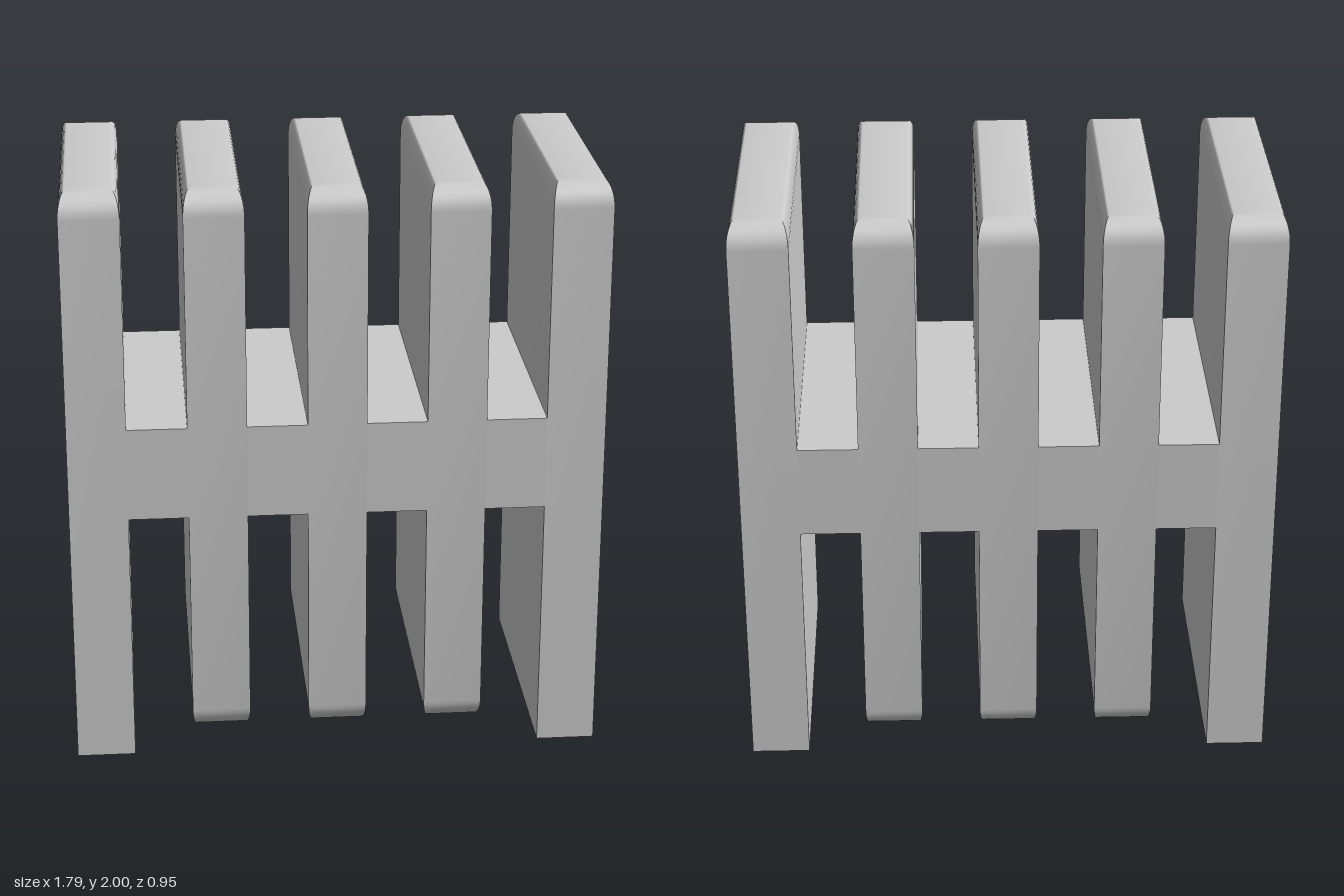
import * as THREE from 'three';
import { toCreasedNormals } from 'three/addons/utils/BufferGeometryUtils.js';

const HALF_W = 0.0985, HALF_D = 0.477, PITCH = 0.3975;
const ROUND_H = 0.08, ROUND_X = 0.024, ROUND_Z = 0.08, STEPS = 8;

// Slab lofted from rectangles stacked in y; its ends are rounded where asked
function finGeometry(y0, y1, roundBottom) {
  const levels = [];
  const ring = (t, y) => levels.push({
    w: HALF_W - ROUND_X * (1 - Math.cos(t)),
    d: HALF_D - ROUND_Z * (1 - Math.cos(t)),
    y,
  });
  if (roundBottom) {
    for (let i = STEPS; i >= 0; i--) {
      const t = (i / STEPS) * Math.PI / 2;
      ring(t, y0 + ROUND_H * (1 - Math.sin(t)));
    }
  } else ring(0, y0);
  for (let i = 0; i <= STEPS; i++) {
    const t = (i / STEPS) * Math.PI / 2;
    ring(t, y1 - ROUND_H * (1 - Math.sin(t)));
  }

  const positions = [], index = [];
  for (const { w, d, y } of levels) {
    positions.push(-w, y, d, w, y, d, w, y, -d, -w, y, -d);
  }
  const quad = (a, b, c, d) => index.push(a, b, c, a, c, d);
  const top = (levels.length - 1) * 4;
  for (let r = 0; r < top; r += 4) {
    for (let k = 0; k < 4; k++) {
      const n = (k + 1) % 4;
      quad(r + k, r + n, r + 4 + n, r + 4 + k);
    }
  }
  quad(3, 2, 1, 0);
  quad(top, top + 1, top + 2, top + 3);

  const geometry = new THREE.BufferGeometry();
  geometry.setAttribute('position', new THREE.Float32BufferAttribute(positions, 3));
  geometry.setIndex(index);
  return toCreasedNormals(geometry, Math.PI / 6);
}

export function createModel() {
  const group = new THREE.Group();
  const material = new THREE.MeshStandardMaterial({ color: 0xcccccc });
  const add = (name, geometry, x, y = 0) => {
    const mesh = new THREE.Mesh(geometry, material);
    mesh.name = name;
    mesh.position.set(x, y, 0);
    group.add(mesh);
  };

  // Two outer slabs stand on the ground, three inner fins hang clear of it
  const outer = finGeometry(0, 2, false);
  const inner = finGeometry(0.08, 2, true);
  for (let i = -2; i <= 2; i++) {
    const isOuter = Math.abs(i) === 2;
    add(isOuter ? 'outerSlab' : 'innerFin', isOuter ? outer : inner, i * PITCH);
  }

  // Crossbar pieces bridging the gaps
  const bridge = new THREE.BoxGeometry(PITCH - 2 * HALF_W, 0.32, 2 * HALF_D);
  for (let i = -1.5; i <= 1.5; i++) add('crossbar', bridge, i * PITCH, 1.04);

  return group;
}
